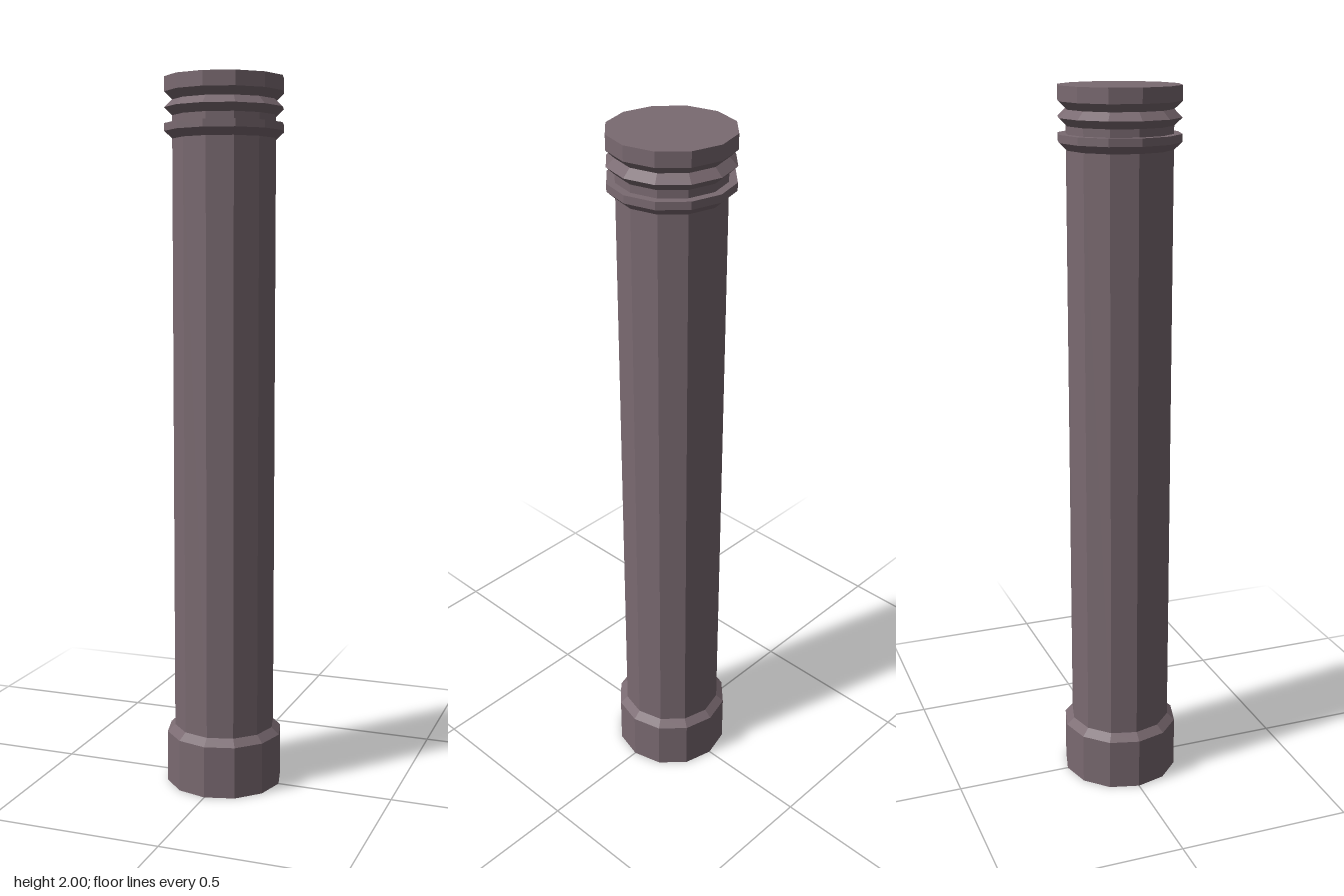
import * as THREE from 'three';

const SIDES = 12;
const WIDE = 0.167;
const NARROW = 0.145;

// Faceted turned section from [radius, height] pairs, bottom to top
function turned(name, profile, material) {
  const points = profile.map(([r, y]) => new THREE.Vector2(r, y));
  const geometry = new THREE.LatheGeometry(points, SIDES).toNonIndexed();
  geometry.computeVertexNormals(); // flat facets
  const mesh = new THREE.Mesh(geometry, material);
  mesh.name = name;
  return mesh;
}

export function createModel() {
  const group = new THREE.Group();
  group.name = 'column';
  const stone = new THREE.MeshStandardMaterial({ color: 0x7a6a71 });
  stone.name = 'mauve stone';

  // Base block with a chamfered upper edge
  group.add(turned('base', [[0, 0], [WIDE, 0], [WIDE, 0.148], [NARROW, 0.168]], stone));

  // Plain straight shaft
  group.add(turned('shaft', [[NARROW, 0.168], [NARROW, 1.835]], stone));

  // Collar ring with a flat top and chamfered underside
  group.add(turned('collar', [
    [NARROW, 1.835], [WIDE, 1.855], [WIDE, 1.876], [NARROW, 1.876], [NARROW, 1.897],
  ], stone));

  // Sharp ridge, then the flat-topped capital
  group.add(turned('capital', [
    [NARROW, 1.897], [WIDE, 1.918], [NARROW, 1.939], [WIDE, 1.96], [WIDE, 2], [0, 2],
  ], stone));

  return group;
}
